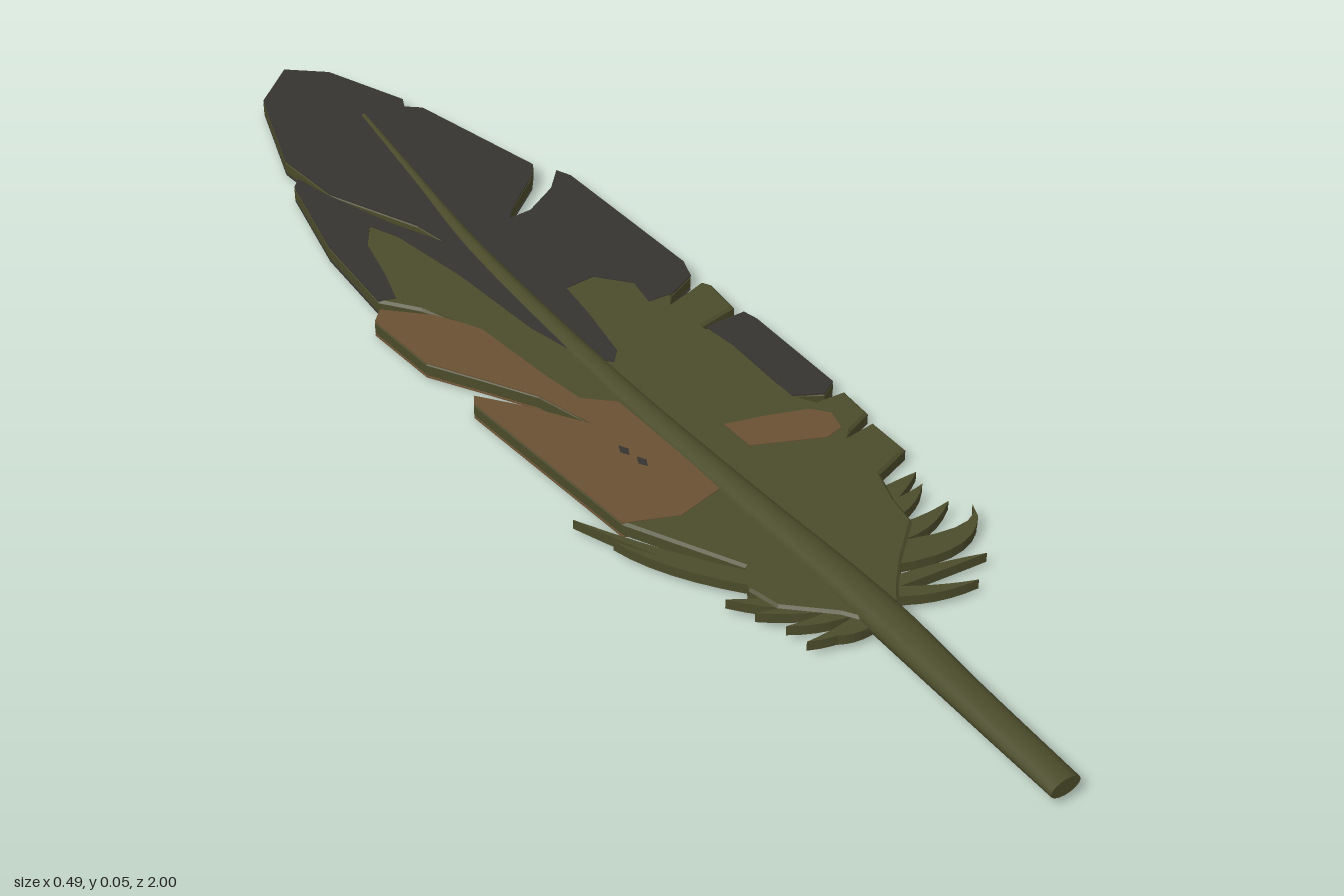
import * as THREE from 'three';

const olive = new THREE.MeshStandardMaterial({ color: 0x4b4b2b });
olive.name = 'olive';
const charcoal = new THREE.MeshStandardMaterial({ color: 0x353430 });
charcoal.name = 'charcoal';
const brown = new THREE.MeshStandardMaterial({ color: 0x6a5134 });
brown.name = 'brown';

const TOP = 0.034, BOTTOM = 0.009;

// Vane outline as [x, z] in hundredths: right half from tip to quill, with its splits
const sideA = [
  [4, -100], [9.5, -95], [14.8, -81], [13.8, -79], [16, -77], [21, -53], [19, -50.5], [12, -45.5],
  [9.5, -43], [13.5, -43], [19.5, -46], [23, -49.5], [24, -47], [24.3, -18], [23, -14.5], [18, -12.5],
  [16.5, -10.7], [23.5, -12.5], [24.3, -11], [23.5, -4.5], [17, -3.6],
  [17, -2.8], [23.8, -2.5], [24.3, 0], [23.8, 18.5], [21, 20], [17, 17.5],
  [19, 20.5], [23.8, 21], [23.3, 27], [19, 28.5], [17.5, 29.6],
  [22.5, 29], [22.3, 36.5], [16, 38.5], [14, 44], [13, 49], [7, 54], [3, 58], [-1, 63],
];
// Other half, from quill back up to the tip
const sideB = [
  [-4, 63], [-7, 58], [-13, 52], [-14, 47], [-11.5, 43],
  [-19.5, 26], [-21, -8], [-20, -9.5], [-16, -4], [-10, 6], [-12.5, -4], [-16.5, -11.5],
  [-21.2, -20], [-21.7, -33], [-19.5, -35], [-13.7, -29], [-11.5, -25],
  [-14.5, -31.5], [-18.5, -37], [-17, -53], [-12.7, -70], [-11, -71.5], [-10, -66],
  [-6, -53], [-1.8, -43], [-3, -50], [-9.3, -65], [-10, -77], [-3.7, -94],
];

const toShape = (pts) => new THREE.Shape(pts.map(([x, z]) => new THREE.Vector2(x / 100, z / 100)));

// Flat slab lying in the xz plane between two heights
function slab(shape, bottom, top, material, name, bevel = 0) {
  const geo = new THREE.ExtrudeGeometry(shape, {
    depth: top - bottom - 2 * bevel, curveSegments: 6,
    bevelEnabled: bevel > 0, bevelThickness: bevel, bevelSize: bevel, bevelOffset: -bevel, bevelSegments: 1,
  });
  geo.rotateX(Math.PI / 2).translate(0, top - bevel, 0);
  const mesh = new THREE.Mesh(geo, material);
  mesh.name = name;
  return mesh;
}

// Thin coloured plates on the upper and lower faces of the vane
function patch(points, material, name, lift = 0.001) {
  const group = new THREE.Group();
  group.name = name;
  const shape = toShape(points);
  group.add(slab(shape, TOP - 0.001, TOP + lift, material, name + 'Top'));
  group.add(slab(shape, BOTTOM - lift, BOTTOM + 0.001, material, name + 'Bottom'));
  return group;
}

// Curved, tapering barb from root through a bend to a pointed tip
function barb([rx, rz], [bx, bz], [tx, tz], width) {
  const len = Math.hypot(tx - rx, tz - rz);
  const nx = -(tz - rz) / len * width / 2, nz = (tx - rx) / len * width / 2;
  const s = new THREE.Shape();
  const k = 0.01;
  s.moveTo((rx + nx) * k, (rz + nz) * k);
  s.quadraticCurveTo((bx + nx) * k, (bz + nz) * k, tx * k, tz * k);
  s.quadraticCurveTo((bx - nx) * k, (bz - nz) * k, (rx - nx) * k, (rz - nz) * k);
  return slab(s, 0.014, 0.03, olive, 'barb');
}

// Tapered oval shaft swept along a gentle curve
function makeShaft() {
  const centre = new THREE.CatmullRomCurve3([
    [7.2, 2.3, -81], [4, 2.3, -60], [1, 2.3, -40], [-1.6, 2.3, 0], [-2.2, 2.5, 30],
    [-2.6, 3, 60], [-4, 3.3, 80], [-5, 3.3, 100],
  ].map(([x, y, z]) => new THREE.Vector3(x / 100, y / 100, z / 100)));
  const radius = new THREE.CatmullRomCurve3([
    [0.9, 1.3], [1.1, 1.5], [1.6, 1.7], [2.1, 1.9], [2.5, 2.1], [3, 2.1], [2.7, 1.7], [2.5, 1.4],
  ].map(([a, b]) => new THREE.Vector3(a / 100, b / 100, 0)));
  const geo = new THREE.CylinderGeometry(1, 1, 1, 16, 28);
  const p = geo.attributes.position;
  for (let i = 0; i < p.count; i++) {
    const t = THREE.MathUtils.clamp(p.getY(i) + 0.5, 0, 1);
    const c = centre.getPoint(t), r = radius.getPoint(t);
    p.setXYZ(i, c.x + p.getX(i) * r.x, c.y - p.getZ(i) * r.y, c.z);
  }
  geo.computeVertexNormals();
  const mesh = new THREE.Mesh(geo, olive);
  mesh.name = 'shaft';
  return mesh;
}

export function createModel() {
  const feather = new THREE.Group();
  feather.name = 'feather';
  feather.add(makeShaft());
  feather.add(slab(toShape([...sideA, ...sideB]), BOTTOM, TOP, olive, 'vane', 0.004));

  // Dark tip, reaching down both sides of the shaft
  feather.add(patch([
    ...sideA.slice(0, 16), [14, -13], [15, -18], [11, -23], [6, -23], [5, -16], [3, -6], [1, -4],
    [-2, -8], [-4, -18], [-5, -35], [-7, -49], [-9, -54], [-12, -50], [-14, -42], [-16, -36],
    ...sideB.slice(18),
  ], charcoal, 'darkTip'));
  // Dark band on the outer edge
  feather.add(patch([...sideA.slice(21, 27), [17, 13], [17.5, 3]], charcoal, 'darkEdge'));
  // Brown lobes and bar
  feather.add(patch([
    ...sideB.slice(5, 17), [-10, -22], [-9, -8], [-8, 0], [-4, 4], [-4, 28], [-12, 29.5],
  ], brown, 'brownLobes'));
  feather.add(patch([
    [5, 17], [11, 19], [17, 21.5], [19, 24], [18, 27.5], [15, 28], [10, 25.5], [5, 23],
  ], brown, 'brownBar'));
  // Small flecks
  for (const [x, z] of [[-10, 13.5], [-9.4, 17]])
    feather.add(patch([[x, z - 1.4], [x + 0.7, z], [x, z + 1.2], [x - 0.7, z]], charcoal, 'fleck', 0.0016));

  // Loose downy barbs near the quill: root, bend, tip, width
  const barbs = [
    [[-11, 46], [-18, 37], [-24.3, 21], 2.2], [[-12, 46], [-20, 36], [-22.5, 28], 2],
    [[-5, 56], [-12, 52], [-17.5, 46.5], 3], [[-4, 57], [-11, 54], [-16, 51], 2.5],
    [[-3, 58], [-9, 58], [-14.3, 55.5], 2.5], [[-3, 60], [-9, 61], [-14, 59.5], 2.2],
    [[-3, 61], [-7, 62], [-10, 61], 1.8],
    [[9, 43], [15, 42.5], [20.5, 41], 4], [[9, 45], [15, 46], [19.5, 43.5], 3.5],
    [[8, 49], [14, 51], [20, 48.5], 3.5], [[6, 51], [20, 58], [22.2, 51], 3],
    [[5, 53], [15, 57.5], [20, 54.5], 2.5], [[2, 57], [9, 58], [17, 60], 2.2],
    [[1, 58], [6, 62], [12.5, 63.5], 2.2],
  ];
  for (const b of barbs) feather.add(barb(...b));
  return feather;
}
